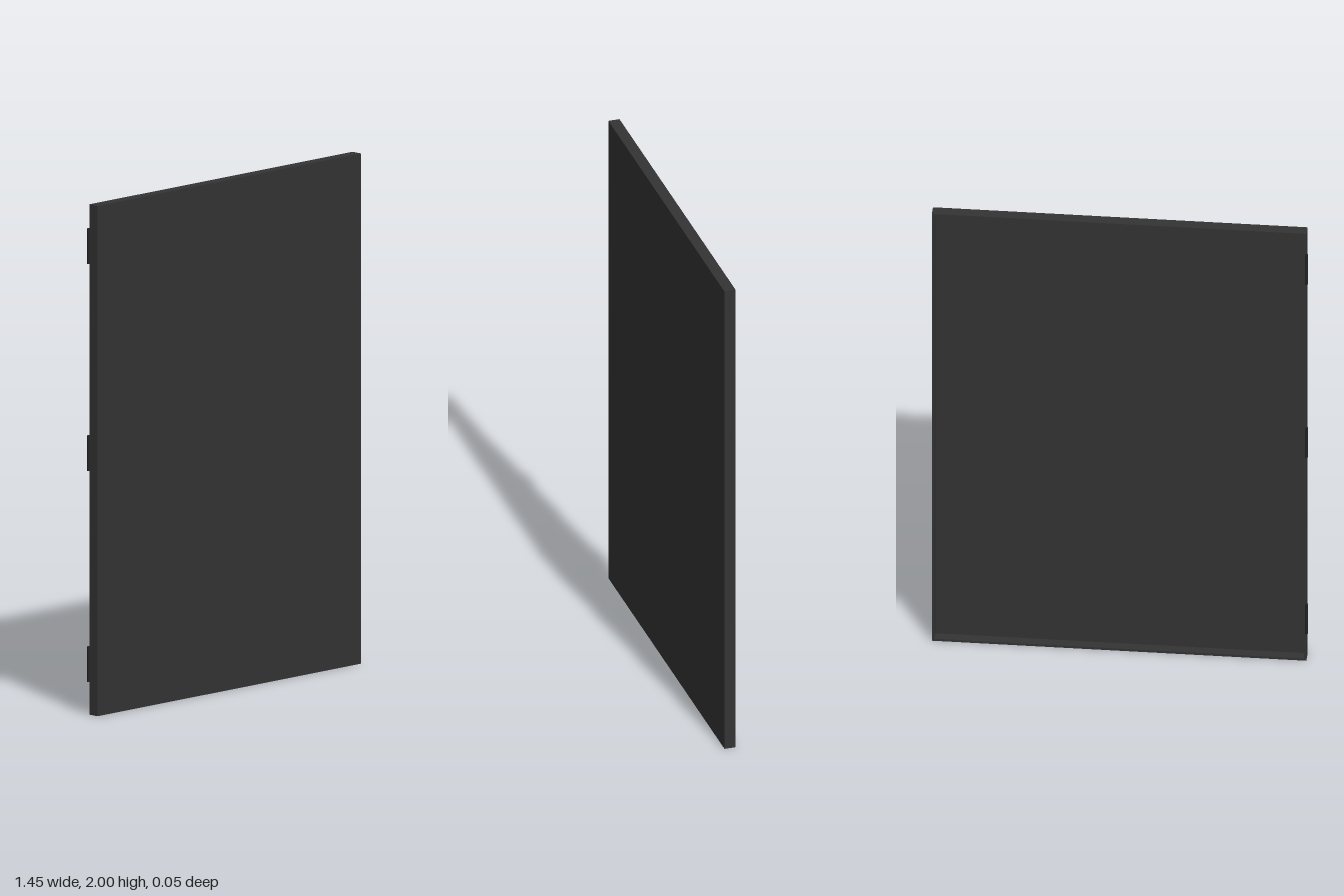
import * as THREE from 'three';

const W = 1.446, H = 2, FRONT = 0.027, BACK = -0.018, SHEET = 0.008, RIM = 0.01;
const CX = 0.003;

export function createModel() {
  const group = new THREE.Group();
  group.name = 'door';
  const panelMat = new THREE.MeshStandardMaterial({ color: 0x333333 });
  const hingeMat = new THREE.MeshStandardMaterial({ color: 0x222222 });

  const add = (name, geometry, material, x, y, z) => {
    const mesh = new THREE.Mesh(geometry, material);
    mesh.name = name;
    mesh.position.set(x, y, z);
    group.add(mesh);
  };

  // Flat front sheet
  add('frontPanel', new THREE.BoxGeometry(W, H, SHEET), panelMat, CX, H / 2, FRONT - SHEET / 2);

  // Folded rim around the open back
  const rectangle = (path, w, h) => path
    .moveTo(-w / 2, -h / 2).lineTo(w / 2, -h / 2)
    .lineTo(w / 2, h / 2).lineTo(-w / 2, h / 2).closePath();
  const outline = new THREE.Shape();
  rectangle(outline, W, H);
  const opening = new THREE.Path();
  rectangle(opening, W - 2 * RIM, H - 2 * RIM);
  outline.holes.push(opening);
  const rim = new THREE.ExtrudeGeometry(outline, { depth: FRONT - SHEET - BACK, bevelEnabled: false });
  add('rim', rim, panelMat, CX, H / 2, BACK);

  // Three hinge barrels on the rear edge
  const names = ['lowerHinge', 'middleHinge', 'upperHinge'];
  [0.198, 1.025, 1.836].forEach((y, i) =>
    add(names[i], new THREE.CylinderGeometry(0.0065, 0.0065, 0.138, 16), hingeMat, -0.7205, y, -0.0205));

  return group;
}
